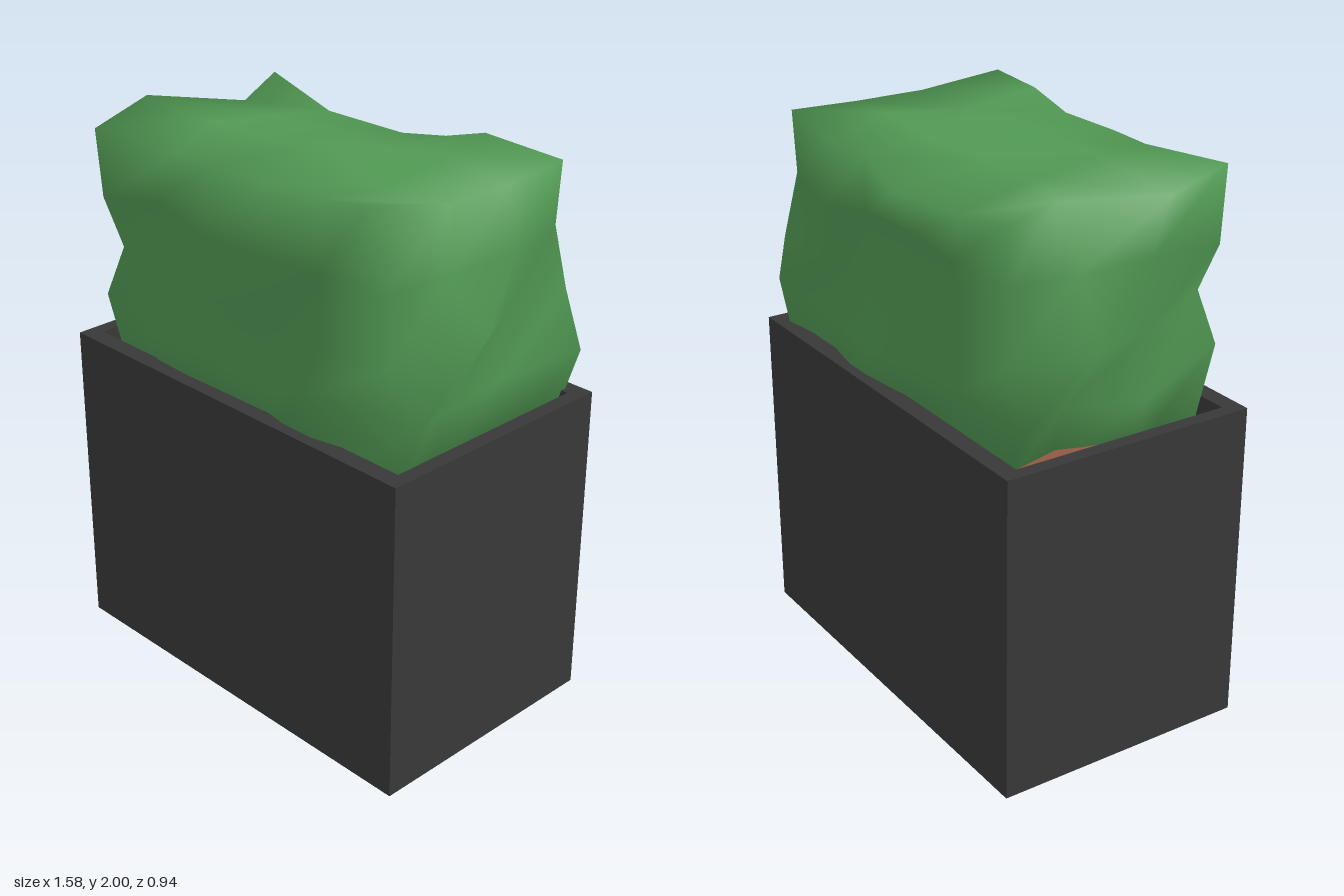
import * as THREE from 'three';
import { mergeVertices } from 'three/addons/utils/BufferGeometryUtils.js';

const paint = (name, color) => {
  const m = new THREE.MeshStandardMaterial({ color });
  m.name = name;
  return m;
};

// Counter-clockwise outline in the ground plane
function rectangle(PathType, x0, x1, z0, z1) {
  return new PathType([[x0, z1], [x1, z1], [x1, z0], [x0, z0]].map(([x, z]) => new THREE.Vector2(x, -z)));
}

// Ragged clipped hedge: a coarse box grid with jitter and a few pulled-out tufts
function hedgeGeometry() {
  const n = [5, 4, 3]; // segments along x, y, z
  const low = [-0.67, 1.03, -0.41], size = [1.35, 0.92, 0.82];
  const tufts = {
    // top rim
    '0,4,0': [-0.73, 1.945, -0.44], '0,4,1': [-0.58, 1.93, -0.16],
    '0,4,2': [-0.79, 1.96, 0.11], '0,4,3': [-0.63, 1.955, 0.46],
    '5,4,3': [0.6, 2.0, 0.41], '5,4,2': [0.67, 1.95, 0.13],
    '5,4,1': [0.67, 1.95, -0.14], '5,4,0': [0.66, 1.96, -0.4],
    '1,4,0': [-0.4, 1.88, -0.4], '2,4,0': [-0.07, 1.87, -0.43],
    '3,4,0': [0.16, 1.92, -0.4], '4,4,0': [0.29, 1.95, -0.45],
    '1,4,3': [-0.28, 1.94, 0.405], '2,4,3': [-0.1, 1.94, 0.415],
    '3,4,2': [0.07, 2.0, 0.1],
    // left side
    '0,2,1': [-0.765, 1.49, -0.13], '0,1,0': [-0.74, 1.28, -0.38],
    '0,2,3': [-0.585, 1.53, 0.4], '0,1,3': [-0.64, 1.35, 0.44], '0,1,1': [-0.6, 1.25, -0.14],
    '0,0,0': [-0.61, 1.03, -0.38], '0,0,1': [-0.55, 1.03, -0.14],
    '0,0,2': [-0.62, 1.03, 0.14], '0,0,3': [-0.61, 1.03, 0.38],
    // right side
    '5,3,0': [0.65, 1.74, -0.395], '5,2,0': [0.67, 1.51, -0.445], '5,1,0': [0.755, 1.32, -0.435],
    '5,2,1': [0.67, 1.5, -0.13], '5,1,1': [0.66, 1.27, -0.14], '5,0,1': [0.65, 1.03, -0.14],
    '5,2,2': [0.78, 1.53, 0.06], '5,1,2': [0.68, 1.26, 0.18],
    '5,2,3': [0.68, 1.5, 0.41], '5,1,3': [0.77, 1.31, 0.34],
    // front
    '2,2,3': [-0.1, 1.49, 0.425], '4,1,3': [0.33, 1.3, 0.435],
  };
  let seed = 7;
  const random = () => (seed = (seed * 16807) % 2147483647) / 2147483647;

  let geo = new THREE.BoxGeometry(1, 1, 1, ...n);
  geo.deleteAttribute('uv');
  geo.deleteAttribute('normal');
  geo = mergeVertices(geo);
  const pos = geo.attributes.position;
  for (let v = 0; v < pos.count; v++) {
    const grid = [pos.getX(v), pos.getY(v), pos.getZ(v)].map((p, a) => Math.round((p + 0.5) * n[a]));
    const jittered = grid.map((g, a) => low[a] + size[a] * g / n[a] + (random() - 0.5) * 0.05);
    pos.setXYZ(v, ...(tufts[grid.join()] || jittered));
  }
  geo.computeVertexNormals();
  return geo;
}

export function createModel() {
  const model = new THREE.Group();
  const charcoal = paint('charcoal', 0x383838);
  const leaf = paint('leaf green', 0x519853);
  const earth = paint('earth brown', 0x8f5a42);
  const add = (name, geo, material, x = 0, y = 0, z = 0) => {
    const mesh = new THREE.Mesh(geo, material);
    mesh.name = name;
    mesh.position.set(x, y, z);
    model.add(mesh);
  };

  // Planter walls and floor
  const outline = rectangle(THREE.Shape, -0.78, 0.788, -0.47, 0.47);
  outline.holes.push(rectangle(THREE.Path, -0.73, 0.735, -0.405, 0.405));
  const walls = new THREE.ExtrudeGeometry(outline, { depth: 1.165, bevelEnabled: false });
  walls.rotateX(-Math.PI / 2);
  add('planterWalls', walls, charcoal);
  add('planterFloor', new THREE.BoxGeometry(1.465, 0.05, 0.81), charcoal, 0.0025, 0.025);

  // Soil and hedge
  add('soil', new THREE.BoxGeometry(1.4, 1.04, 0.8), earth, 0, 0.57);
  add('hedge', hedgeGeometry(), leaf);
  return model;
}
